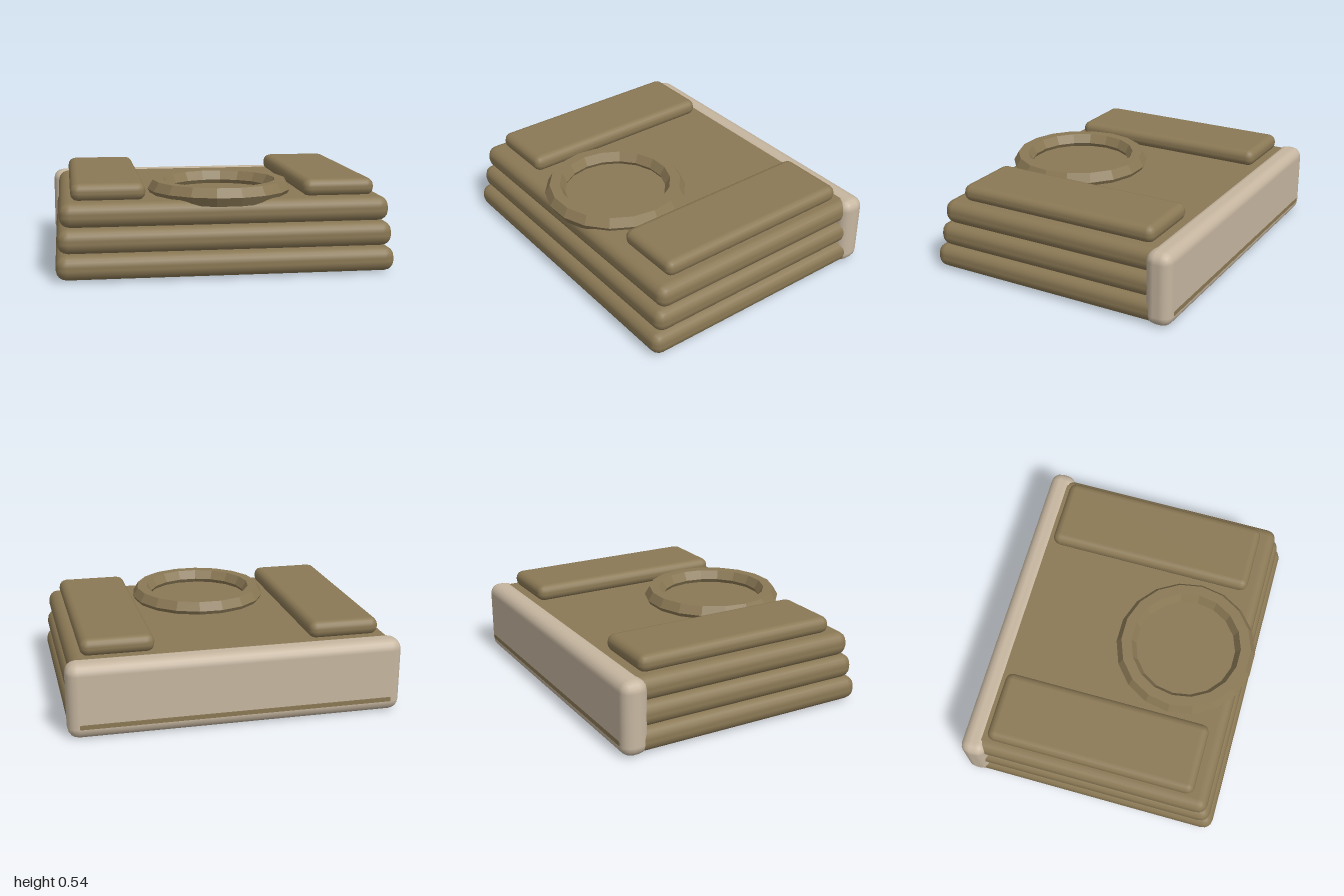
import * as THREE from 'three';
import { RoundedBoxGeometry } from 'three/addons/geometries/RoundedBoxGeometry.js';

export function createModel() {
  const group = new THREE.Group();
  const canvas = new THREE.MeshStandardMaterial({ color: 0x8b7955 });
  canvas.name = 'khaki brown';
  const shell = new THREE.MeshStandardMaterial({ color: 0xc6b6a0 });
  shell.name = 'pale beige';

  // Rounded block given by its lower and upper limits on each axis
  function block(name, material, [x0, x1], [y0, y1], [z0, z1], radius) {
    const geometry = new RoundedBoxGeometry(x1 - x0, y1 - y0, z1 - z0, 2, radius);
    const mesh = new THREE.Mesh(geometry, material);
    mesh.position.set((x0 + x1) / 2, (y0 + y1) / 2, (z0 + z1) / 2);
    mesh.name = name;
    group.add(mesh);
  }

  // Three stacked layers, each a little smaller than the one below
  const layers = [[0.992, 0.805], [0.982, 0.775], [0.968, 0.745]];
  layers.forEach(([w, d], i) => {
    const y = 0.007 + i * 0.146;
    block('layer' + (i + 1), canvas, [-w, w], [y, y + 0.146], [-d, d], 0.063);
  });

  // Back panel covering the rear ends of the layers
  block('backPanel', shell, [-1, 1], [0, 0.45], [-0.804, -0.64], 0.065);

  // Long pads on top
  block('leftPad', canvas, [0.465, 0.9], [0.438, 0.543], [-0.648, 0.643], 0.048);
  block('rightPad', canvas, [-0.9, -0.465], [0.438, 0.543], [-0.648, 0.643], 0.048);

  // Faceted ring lying on the top layer
  const ringGeometry = new THREE.TorusGeometry(0.3725, 0.0625, 6, 18).toNonIndexed();
  ringGeometry.computeVertexNormals();
  ringGeometry.rotateX(-Math.PI / 2);
  const ring = new THREE.Mesh(ringGeometry, canvas);
  ring.position.set(0, 0.469, 0.368);
  ring.name = 'ring';
  group.add(ring);

  return group;
}
